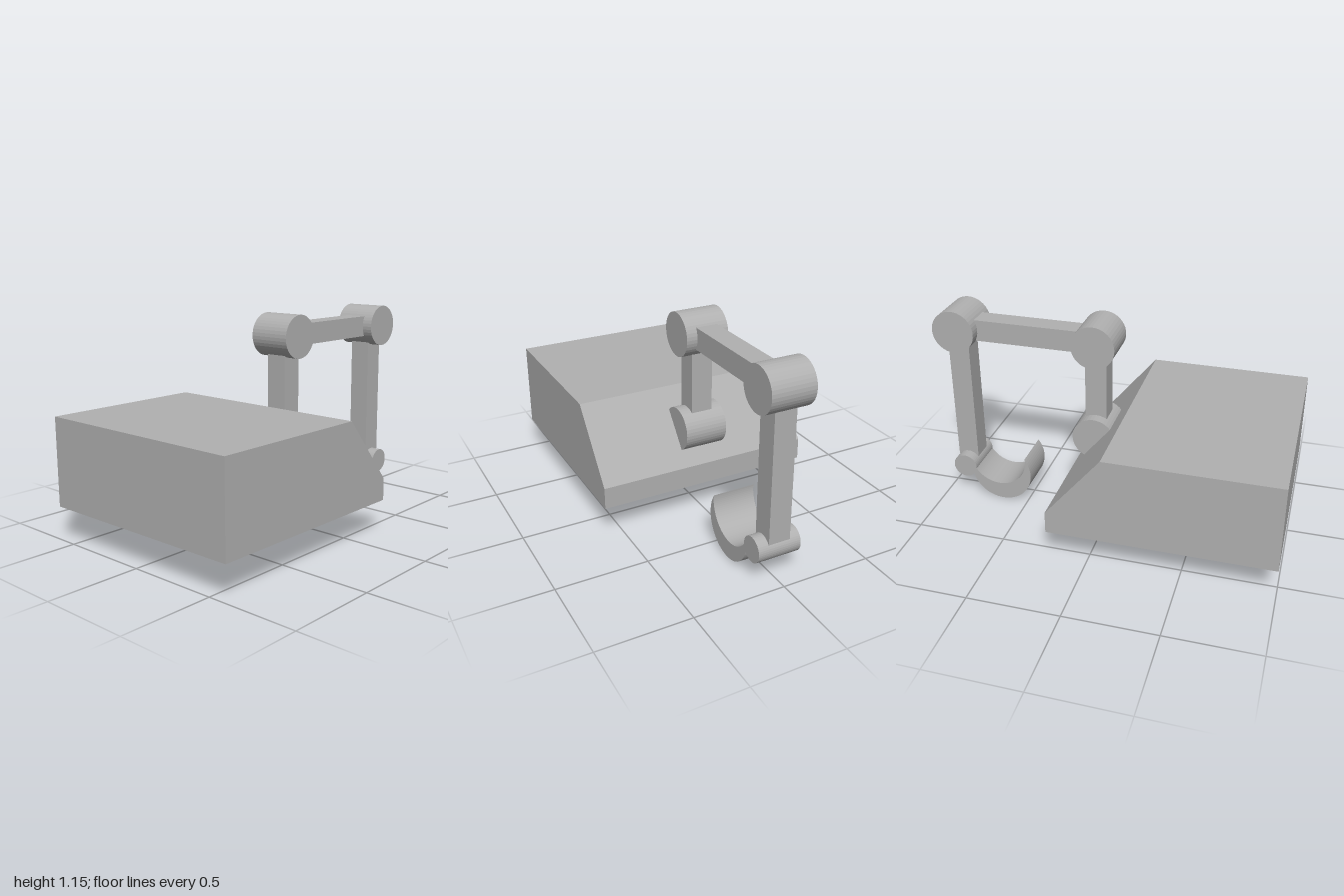
import * as THREE from 'three';

export function createModel() {
  const model = new THREE.Group();
  const grey = new THREE.MeshStandardMaterial({ color: 0xb0b0b0, flatShading: true });
  grey.name = 'plain grey';

  const add = (name, geometry, x = 0, y = 0, z = 0) => {
    const mesh = new THREE.Mesh(geometry, grey);
    mesh.name = name;
    mesh.position.set(x, y, z);
    model.add(mesh);
    return mesh;
  };
  // Extrusion centred on z = 0
  const slab = (shape, width, curveSegments = 24) =>
    new THREE.ExtrudeGeometry(shape, { depth: width, bevelEnabled: false, curveSegments })
      .translate(0, 0, -width / 2);
  // Pivot drum with its axis along z
  const joint = (name, x, y, radius) =>
    add(name, new THREE.CylinderGeometry(radius, radius, 0.24, 40).rotateX(Math.PI / 2), x, y);
  // Square arm between two corners of the front plane
  const arm = (name, x0, x1, y0, y1) =>
    add(name, new THREE.BoxGeometry(x1 - x0, y1 - y0, 0.12), (x0 + x1) / 2, (y0 + y1) / 2);

  // Body with sloped nose
  const profile = [[-1, 0.185], [0.21, 0.185], [0.21, 0.305], [-0.09, 0.667], [-1, 0.667]];
  add('body', slab(new THREE.Shape(profile.map(([x, y]) => new THREE.Vector2(x, y))), 1.21));

  // Round foot under the body
  add('foot', new THREE.CylinderGeometry(0.24, 0.24, 0.122, 40), -0.395, 0.125);

  // Arm linkage
  joint('shoulderJoint', 0.09, 0.49, 0.12);
  joint('elbowJoint', 0.09, 1.035, 0.12);
  joint('outerJoint', 0.88, 1.035, 0.12);
  joint('wristJoint', 0.88, 0.185, 0.07);
  arm('upright', 0.03, 0.15, 0.52, 0.98);
  arm('crossArm', 0.15, 0.82, 0.975, 1.095);
  arm('hangingArm', 0.82, 0.94, 0.225, 0.98);

  // Crescent scoop: outer arc under, inner arc back
  const outer = { x: 0.653, y: 0.182, r: 0.18 };
  const inner = { x: 0.67, y: 0.268, r: 0.167 };
  const angle = (c, x, y) => Math.atan2(y - c.y, x - c.x);
  const tip = [0.505, 0.288], root = [0.832, 0.215];
  const scoop = new THREE.Shape();
  scoop.absarc(outer.x, outer.y, outer.r, angle(outer, ...tip), angle(outer, ...root), false);
  scoop.absarc(inner.x, inner.y, inner.r, angle(inner, ...root), angle(inner, ...tip), true);
  add('scoop', slab(scoop, 0.24));

  return model;
}
